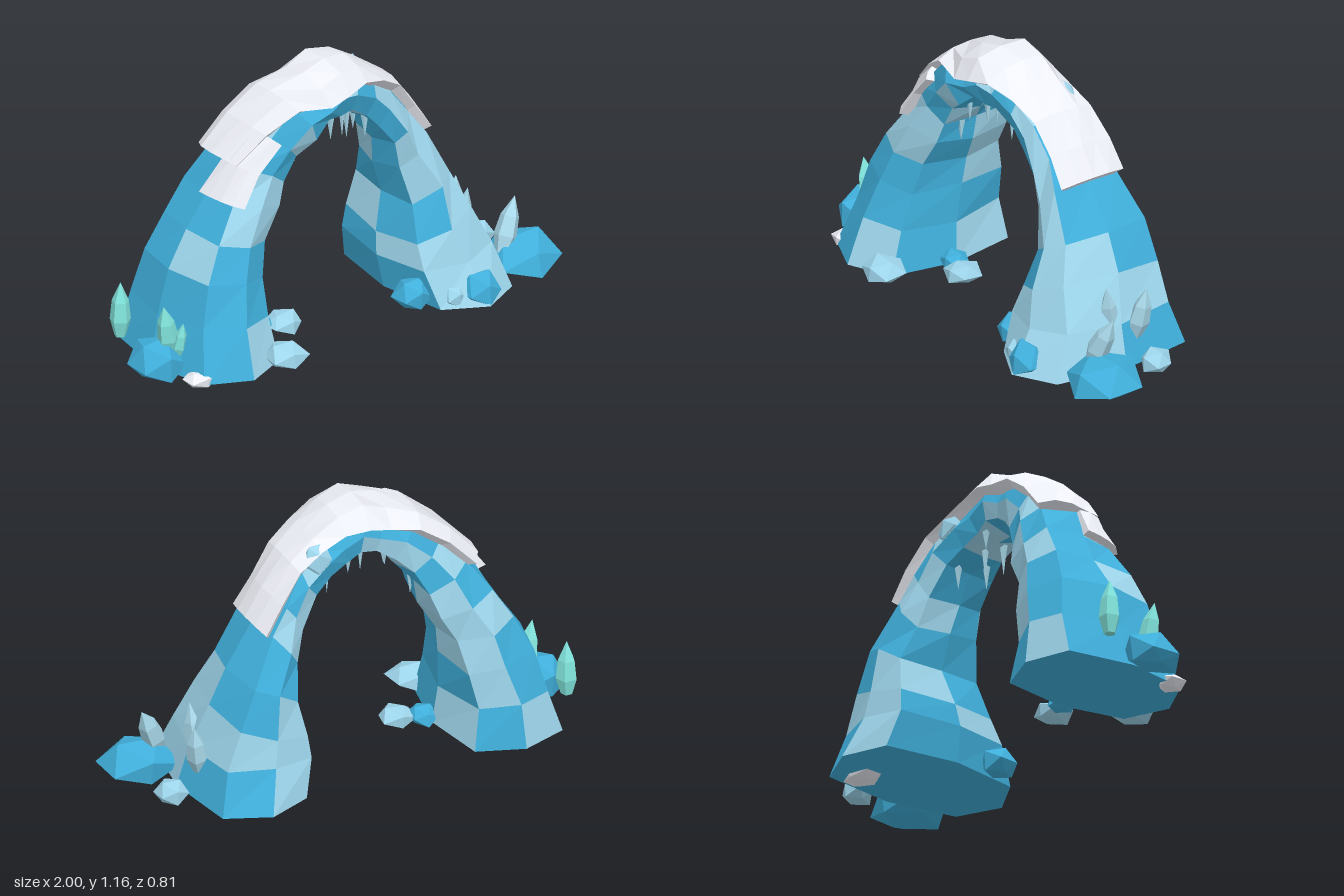
import * as THREE from 'three';

const mat = (color, side = THREE.FrontSide) =>
  new THREE.MeshStandardMaterial({ color, side, flatShading: true, roughness: 0.8 });
const ICE = mat(0x40b0dc), PALE = mat(0x9ed6ec), SNOW = mat(0xeceef6);
const CRYSTAL = mat(0xa8d8ea, THREE.DoubleSide), TEAL = mat(0x82e6de, THREE.DoubleSide);

// Repeatable pseudo-random value in -1..1
const hash = (a, b = 0, c = 0) => {
  const s = Math.sin(a * 127.1 + b * 311.7 + c * 74.7) * 43758.5453;
  return (s - Math.floor(s)) * 2 - 1;
};

// Arch sections, left foot to right foot: outer x, y, inner x, y, front z, back z
const SECTIONS = [
  [-0.87, 0.02, -0.38, 0.02, 0.36, -0.37],
  [-0.81, 0.22, -0.41, 0.20, 0.29, -0.35],
  [-0.75, 0.40, -0.39, 0.36, 0.24, -0.32],
  [-0.67, 0.56, -0.37, 0.50, 0.20, -0.28],
  [-0.58, 0.70, -0.30, 0.62, 0.17, -0.24],
  [-0.49, 0.83, -0.27, 0.72, 0.15, -0.20],
  [-0.38, 0.95, -0.21, 0.80, 0.16, -0.17],
  [-0.26, 1.05, -0.15, 0.87, 0.18, -0.15],
  [-0.13, 1.09, -0.08, 0.91, 0.17, -0.12],
  [-0.03, 1.13, -0.02, 0.92, 0.16, -0.12],
  [0.08, 1.10, 0.05, 0.91, 0.15, -0.12],
  [0.19, 1.03, 0.12, 0.87, 0.13, -0.14],
  [0.29, 0.96, 0.20, 0.80, 0.12, -0.17],
  [0.38, 0.84, 0.26, 0.70, 0.12, -0.20],
  [0.46, 0.73, 0.29, 0.57, 0.14, -0.23],
  [0.57, 0.55, 0.33, 0.42, 0.19, -0.30],
  [0.65, 0.38, 0.29, 0.26, 0.25, -0.33],
  [0.72, 0.20, 0.27, 0.17, 0.30, -0.34],
  [0.77, 0.02, 0.30, 0.02, 0.40, -0.41],
];

// Point on a boxy-oval section; angle 0 is the outside of the arch, 90 degrees the front
function sectionPoint(i, angle, offset = 0) {
  const [ox, oy, ix, iy, zf, zb] = SECTIONS[i];
  const u = new THREE.Vector2(ox - ix, oy - iy).multiplyScalar(0.5);
  const c = Math.cos(angle), s = Math.sin(angle), n = s < 0 ? 3.2 : 2.6;
  const r = (Math.abs(c) ** n + Math.abs(s) ** n) ** (-1 / n);
  const h = u.length(), d = (zf - zb) / 2;
  const along = (c * r * h + c * offset) / h;
  return new THREE.Vector3(
    (ox + ix) / 2 + u.x * along,
    (oy + iy) / 2 + u.y * along,
    (zf + zb) / 2 + s * (r * d + offset));
}

function meshFrom(points, material, name) {
  const geo = new THREE.BufferGeometry().setFromPoints(points);
  geo.computeVertexNormals();
  const mesh = new THREE.Mesh(geo, material);
  mesh.name = name;
  return mesh;
}

// Skins closed rings with quads; pick(i, k) chooses the bucket of each quad
function loft(rings, pick = () => 0) {
  const buckets = [[], []], n = rings[0].length;
  for (let i = 0; i < rings.length - 1; i++)
    for (let k = 0; k < n; k++) {
      const a = rings[i][k], b = rings[i][(k + 1) % n];
      const c = rings[i + 1][(k + 1) % n], d = rings[i + 1][k];
      buckets[pick(i, k)].push(a, b, c, a, c, d);
    }
  const cap = (ring, flip) => {
    const mid = ring.reduce((m, p) => m.add(p), new THREE.Vector3()).divideScalar(n);
    ring.forEach((p, k) => {
      const q = ring[(k + 1) % n];
      buckets[0].push(mid, flip ? q : p, flip ? p : q);
    });
  };
  cap(rings[0], true);
  cap(rings[rings.length - 1], false);
  return buckets;
}

function buildArch() {
  const group = new THREE.Group();
  group.name = 'iceArch';
  const last = SECTIONS.length - 1;
  const rings = SECTIONS.map((_, i) => Array.from({ length: 8 }, (_, k) => {
    const p = sectionPoint(i, k * Math.PI / 4);
    const j = i === 0 || i === last ? 0 : 0.013;
    return p.add(new THREE.Vector3(hash(i, k, 1), hash(i, k, 2), hash(i, k, 3)).multiplyScalar(j));
  }));
  const [blue, pale] = loft(rings, (i, k) => (hash(i, k, 6) > 0.1 ? 1 : 0));
  group.add(meshFrom(blue, ICE, 'blueIceFacets'), meshFrom(pale, PALE, 'paleIceFacets'));
  return group;
}

// Snow slab on the outside of the arch; spans lists its back and front angle per section
function buildSnow(from, spans, thick, name) {
  const rings = spans.map(([lo, hi], n) => {
    const i = from + n, top = [], under = [];
    for (let k = 0; k < 5; k++) {
      const a = THREE.MathUtils.degToRad(lo + (hi - lo) * k / 4);
      top.push(sectionPoint(i, a, thick + 0.009 * hash(i, k, 5)));
      under.unshift(sectionPoint(i, a, -0.02));
    }
    return [...top, ...under];
  });
  return meshFrom(loft(rings)[0], SNOW, name);
}

// Faceted boulder, flattened on the ground at y = floor
function rock(name, material, [x, y, z], [sx, sy, sz], seed, floor = 0.02) {
  const geo = new THREE.IcosahedronGeometry(1, 0);
  const p = geo.attributes.position, v = new THREE.Vector3();
  for (let i = 0; i < p.count; i++) {
    v.fromBufferAttribute(p, i);
    const key = Math.round(v.x * 10) + 3.3 * Math.round(v.y * 10) + 7.7 * Math.round(v.z * 10);
    v.multiplyScalar(1.1 + 0.15 * hash(key, seed));
    p.setXYZ(i, x + v.x * sx, Math.max(floor, y + v.y * sy), z + v.z * sz);
  }
  geo.computeVertexNormals();
  const mesh = new THREE.Mesh(geo, material);
  mesh.name = name;
  return mesh;
}

// Pointed prism from a base to a tip
function spike(name, material, base, tip, radius, profile, sides) {
  const a = new THREE.Vector3(...base), dir = new THREE.Vector3(...tip).sub(a);
  const h = dir.length();
  const pts = profile.map(([r, t]) => new THREE.Vector2(r * radius, t * h));
  const mesh = new THREE.Mesh(new THREE.LatheGeometry(pts, sides), material);
  mesh.quaternion.setFromUnitVectors(new THREE.Vector3(0, 1, 0), dir.normalize());
  mesh.position.copy(a);
  mesh.name = name;
  return mesh;
}

export function createModel() {
  const model = new THREE.Group();
  model.name = 'iceArchway';
  model.add(buildArch());

  // Snow cap, hanging over the front at the crown, with a lower slab on the left
  model.add(buildSnow(5, [
    [-48, 30], [-52, 38], [-58, 48], [-66, 76], [-70, 78],
    [-62, 60], [-52, 48], [-46, 42], [-44, 40], [-42, 38],
  ], 0.04, 'snowCap'));
  model.add(buildSnow(4, [[0, 58], [5, 60], [10, 62]], 0.028, 'lowerSnowSlab'));

  // Boulders around the feet
  const boulders = [
    [ICE, [0.855, 0.06, 0.17], [0.16, 0.11, 0.145]],
    [ICE, [-0.905, 0.06, 0.06], [0.105, 0.11, 0.12]],
    [PALE, [-0.44, 0.06, 0.31], [0.085, 0.055, 0.09]],
    [PALE, [-0.25, 0.05, 0.06], [0.075, 0.045, 0.07]],
    [ICE, [-0.35, 0.05, 0.02], [0.06, 0.045, 0.06]],
    [ICE, [0.29, 0.06, 0.20], [0.07, 0.07, 0.075]],
    [ICE, [0.54, 0.06, 0.32], [0.08, 0.08, 0.075]],
    [PALE, [0.43, 0.05, 0.29], [0.045, 0.05, 0.05]],
    [PALE, [0.84, 0.055, -0.10], [0.065, 0.05, 0.06]],
  ];
  boulders.forEach(([m, at, size], i) => model.add(rock('boulder', m, at, size, i + 1)));

  // Thin snow patches at ground level
  model.add(rock('groundSnow', SNOW, [-0.80, 0.03, 0.23], [0.06, 0.03, 0.055], 21, 0));
  model.add(rock('groundSnow', SNOW, [0.65, 0.02, -0.22], [0.09, 0.025, 0.07], 22, 0));

  // Lump clinging to the back of the crown
  model.add(rock('crownLump', PALE, [0.20, 0.98, -0.12], [0.06, 0.07, 0.04], 31));

  // Upright crystals beside both feet
  const shard = [[0, 0], [0.55, 0], [1, 0.3], [0.8, 0.65], [0, 1]];
  [
    [CRYSTAL, [0.67, 0.12, 0.00], [0.69, 0.365, 0.04], 0.04],
    [CRYSTAL, [0.71, 0.12, -0.09], [0.75, 0.34, -0.12], 0.045],
    [CRYSTAL, [0.76, 0.10, 0.17], [0.86, 0.315, 0.13], 0.05],
    [TEAL, [-0.91, 0.10, -0.16], [-0.91, 0.34, -0.16], 0.045],
    [TEAL, [-0.84, 0.10, 0.08], [-0.88, 0.32, 0.09], 0.045],
    [TEAL, [-0.82, 0.08, 0.10], [-0.81, 0.24, 0.13], 0.03],
  ].forEach(([m, base, tip, r]) => model.add(spike('crystal', m, base, tip, r, shard, 5)));

  // Icicles under the crown: x, root y, tip y, z
  const cone = [[1, 0], [0.55, 0.4], [0, 1]];
  [
    [-0.30, 0.72, 0.62, 0.03], [-0.20, 0.88, 0.76, 0.06], [-0.14, 0.91, 0.84, -0.05],
    [-0.07, 0.94, 0.79, 0.02], [-0.04, 0.94, 0.82, 0.09], [0.03, 0.94, 0.85, -0.07],
    [0.07, 0.93, 0.78, 0.05], [0.10, 0.92, 0.75, -0.02], [0.17, 0.87, 0.75, 0.04],
    [0.20, 0.84, 0.73, -0.08],
  ].forEach(([x, y0, y1, z]) =>
    model.add(spike('icicle', CRYSTAL, [x, y0, z], [x, y1, z + 0.002], 0.02, cone, 5)));

  return model;
}
